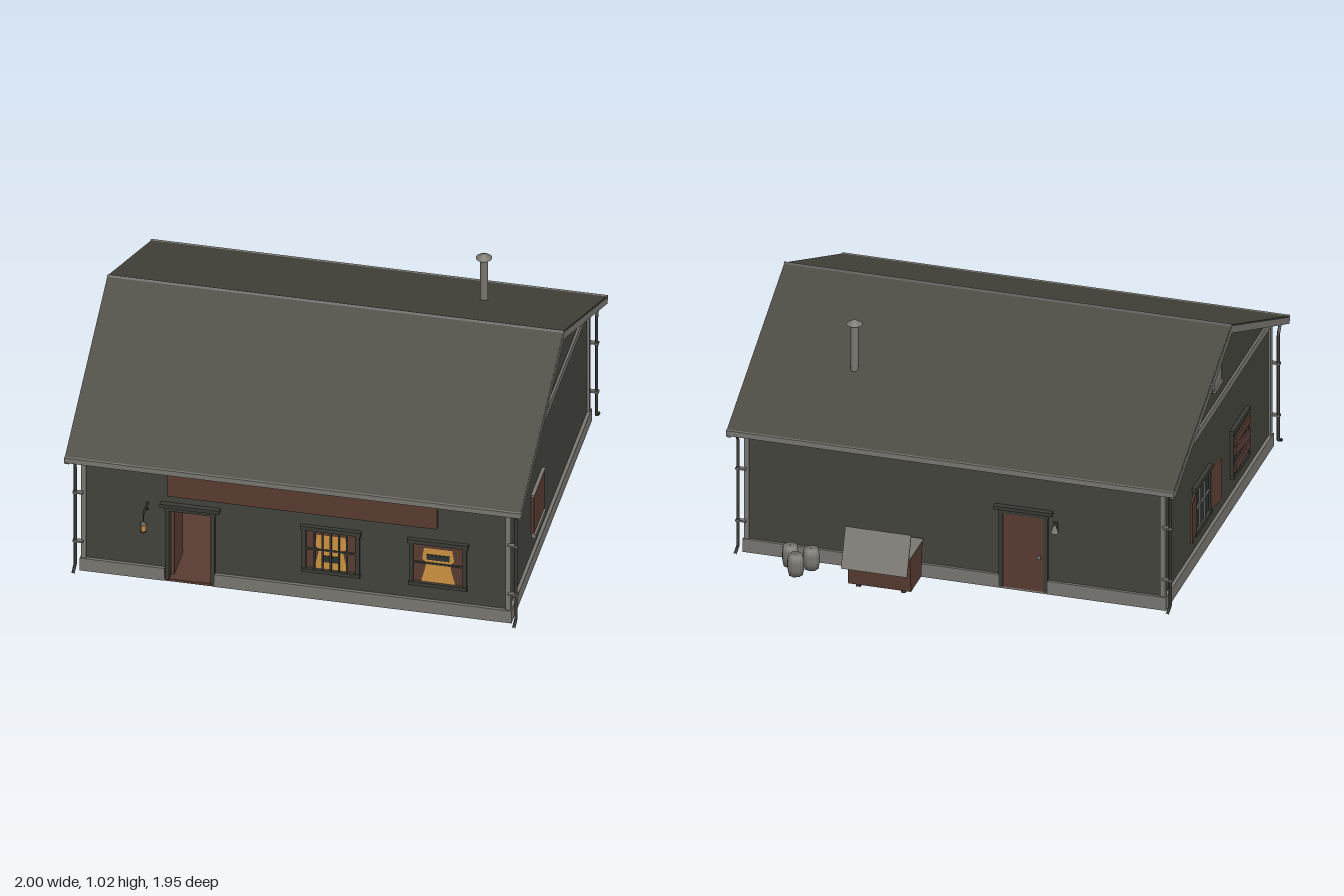
import * as THREE from 'three';

const mat = (name, color) => {
  const m = new THREE.MeshStandardMaterial({ color });
  m.name = name;
  return m;
};

export function createModel() {
  const model = new THREE.Group();
  model.name = 'house';
  const wall = mat('wall green', 0x43443d);
  const roofMat = mat('roof olive', 0x48473e);
  const trim = mat('grey trim', 0x7a7772);
  const brown = mat('red brown', 0x593c32);
  const frameMat = mat('dark frame', 0x3a3a35);
  const glow = mat('warm glow', 0xcf9342);
  const glass = mat('dark glass', 0x2b3133);

  const add = (parent, name, geo, m) => {
    const mesh = new THREE.Mesh(geo, m);
    mesh.name = name;
    parent.add(mesh);
    return mesh;
  };
  // Box given by its limits on each axis
  const box = (parent, name, m, x0, x1, y0, y1, z0, z1) => {
    const mesh = add(parent, name, new THREE.BoxGeometry(x1 - x0, y1 - y0, z1 - z0), m);
    mesh.position.set((x0 + x1) / 2, (y0 + y1) / 2, (z0 + z1) / 2);
    return mesh;
  };
  // Profile of [z, y] points swept along x
  const slab = (parent, name, m, pts, x0, x1) => {
    const shape = new THREE.Shape(pts.map(([z, y]) => new THREE.Vector2(-z, y)));
    const geo = new THREE.ExtrudeGeometry(shape, { depth: x1 - x0, bevelEnabled: false });
    geo.rotateY(Math.PI / 2).translate(x0, 0, 0);
    return add(parent, name, geo, m);
  };
  const tube = (parent, name, m, pts, r, sides = 6) => {
    const path = new THREE.CurvePath();
    const v = pts.map(p => new THREE.Vector3(...p));
    for (let i = 1; i < v.length; i++) path.add(new THREE.LineCurve3(v[i - 1], v[i]));
    return add(parent, name, new THREE.TubeGeometry(path, 24, r, sides), m);
  };
  // Group on a wall, its local +z pointing out of that wall
  const onWall = (name, x, y, z, turn) => {
    const g = new THREE.Group();
    g.name = name;
    g.position.set(x, y, z);
    g.rotation.y = turn;
    model.add(g);
    return g;
  };

  const X = 0.93, ZF = 0.87, ZB = -0.695, T = 0.03;
  const ridgeZ = 0.088, eaveF = 0.935, eaveB = -0.765;

  // Walls, with a doorway in the front
  box(model, 'frontWall', wall, -X, -0.555, 0.01, 0.62, ZF - T, ZF);
  box(model, 'frontWall', wall, -0.37, X, 0.01, 0.62, ZF - T, ZF);
  box(model, 'doorHeader', wall, -0.555, -0.37, 0.365, 0.62, ZF - T, ZF);
  box(model, 'backWall', wall, -X, X, 0.01, 0.62, ZB, ZB + T);
  const gable = [[ZF, 0.01], [ZF, 0.615], [ridgeZ, 0.965], [ZB, 0.615], [ZB, 0.01]];
  slab(model, 'rightWall', wall, gable, -X, -X + T);
  slab(model, 'leftWall', wall, gable, X - T, X);

  // Floor and stone base
  box(model, 'floor', brown, -0.94, 0.94, 0, 0.012, -0.7, 0.88);
  box(model, 'base', trim, -0.945, -0.575, 0.002, 0.065, ZF - 0.01, 0.885);
  box(model, 'base', trim, -0.36, 0.945, 0.002, 0.065, ZF - 0.01, 0.885);
  box(model, 'base', trim, -0.945, 0.945, 0.002, 0.065, -0.708, ZB + 0.01);

  for (const s of [-1, 1]) {
    const span = (name, m, a, b, y0, y1, z0, z1) =>
      box(model, name, m, Math.min(s * a, s * b), Math.max(s * a, s * b), y0, y1, z0, z1);
    span('base', trim, 0.92, 0.945, 0.002, 0.065, -0.705, 0.885);
    span('gableBand', trim, 0.92, 0.94, 0.587, 0.62, -0.7, 0.88);
    span('cornerTrim', trim, 0.918, 0.94, 0.065, 0.6, 0.855, 0.88);
    span('cornerTrim', trim, 0.918, 0.94, 0.065, 0.6, -0.703, -0.68);
    // Attic vent
    span('ventPanel', trim, 0.925, 0.937, 0.69, 0.795, 0.038, 0.142);
    span('ventSill', trim, 0.925, 0.945, 0.68, 0.69, 0.03, 0.15);
    // Rake boards
    slab(model, 'rakeBoard', trim, [[eaveF, 0.575], [eaveF, 0.607], [ridgeZ, 0.988],
      [eaveB, 0.607], [eaveB, 0.575], [ridgeZ, 0.952]], s > 0 ? 0.98 : -1, s > 0 ? 1 : -0.98);
    // Downspouts at the four corners
    for (const [wz, ez, d] of [[0.885, 0.932, 1], [-0.71, -0.758, -1]]) {
      const x = s * 0.965;
      tube(model, 'downspout', frameMat, [[x, 0.595, ez], [x, 0.548, wz], [x, 0.03, wz], [x, 0.012, wz + d * 0.048]], 0.007);
      for (const y of [0.15, 0.4])
        span('pipeBracket', trim, 0.93, 0.975, y, y + 0.008, wz - 0.01, wz + 0.01);
    }
  }

  // Roof, ridge and gutters
  slab(model, 'roof', roofMat, [[eaveF, 0.597], [eaveF, 0.612], [ridgeZ, 0.992],
    [eaveB, 0.612], [eaveB, 0.597], [ridgeZ, 0.972]], -0.997, 0.997);
  slab(model, 'ridgeCap', frameMat, [[0.097, 0.988], [ridgeZ, 0.996], [0.079, 0.988]], -1, 1);
  box(model, 'frontGutter', trim, -1, 1, 0.587, 0.612, 0.928, 0.946);
  box(model, 'backGutter', trim, -1, 1, 0.587, 0.612, -0.776, -0.758);

  // Stove pipe
  const pipe = add(model, 'stovePipe', new THREE.CylinderGeometry(0.018, 0.018, 0.26, 12), trim);
  pipe.position.set(0.545, 0.87, -0.38);
  const cap = add(model, 'pipeCap', new THREE.ConeGeometry(0.036, 0.022, 12), trim);
  cap.position.set(0.545, 1.009, -0.38);

  // Sign board above the windows
  box(model, 'signBoard', brown, -0.56, 0.62, 0.44, 0.548, ZF, 0.888);

  // Framed opening centred on the group, with inner half size w, h
  const frame = (g, w, h, m) => {
    for (const s of [-1, 1])
      box(g, 'sideFrame', m, s * (w + 0.009) - 0.009, s * (w + 0.009) + 0.009, -h, h, 0, 0.016);
    box(g, 'topFrame', m, -w - 0.025, w + 0.025, h, h + 0.02, 0, 0.02);
    box(g, 'sill', m, -w - 0.02, w + 0.02, -h - 0.018, -h, 0, 0.02);
  };

  // Lit front windows with drawn curtains
  const light = [[-0.075, -0.098], [0.075, -0.098], [0.06, -0.04], [0.052, 0], [0.07, 0.02], [0.062, 0.075],
    [-0.062, 0.075], [-0.07, 0.02], [-0.052, 0], [-0.06, -0.04]].map(p => new THREE.Vector2(...p));
  [0.153, 0.622].forEach((x, i) => {
    const g = onWall('frontWindow', x, 0.255, ZF, 0);
    frame(g, 0.108, 0.098, frameMat);
    box(g, 'curtains', brown, -0.108, 0.108, -0.098, 0.098, 0, 0.004);
    add(g, 'litPane', new THREE.ShapeGeometry(new THREE.Shape(light)), glow).position.z = 0.006;
    box(g, 'crossBar', frameMat, -0.108, 0.108, -0.004, 0.004, 0.006, 0.011);
    if (i) box(g, 'notice', glass, -0.05, 0.05, 0.018, 0.045, 0.006, 0.009);
    else {
      box(g, 'notice', glass, -0.04, 0.04, -0.06, -0.028, 0.006, 0.009);
      for (let k = -2; k <= 2; k++)
        box(g, 'bar', frameMat, k * 0.036 - 0.004, k * 0.036 + 0.004, -0.098, 0.098, 0.009, 0.016);
    }
  });

  // Boarded window on the left wall
  const boarded = onWall('boardedWindow', X, 0.26, 0.322, Math.PI / 2);
  box(boarded, 'board', brown, -0.106, 0.106, -0.097, 0.097, 0, 0.012);
  box(boarded, 'boardTop', trim, -0.111, 0.111, 0.097, 0.104, 0, 0.016);
  box(boarded, 'boardSill', trim, -0.102, 0.102, -0.122, -0.101, 0, 0.02);

  // Shuttered window and planked window on the right wall
  for (const [z, shutters] of [[-0.15, true], [0.405, false]]) {
    const g = onWall('sideWindow', -X, 0.255, z, -Math.PI / 2);
    frame(g, 0.1, 0.098, frameMat);
    box(g, 'pane', glass, -0.1, 0.1, -0.098, 0.098, 0, 0.005);
    if (shutters) {
      box(g, 'crossBar', trim, -0.1, 0.1, -0.004, 0.004, 0.005, 0.012);
      for (const x of [-0.035, 0.035]) box(g, 'bar', trim, x - 0.004, x + 0.004, -0.098, 0.098, 0.005, 0.012);
      for (const s of [-1, 1]) {
        const sh = box(g, 'shutter', brown, s * 0.168 - 0.05, s * 0.168 + 0.05, -0.098, 0.098, 0.014, 0.024);
        sh.rotation.y = -s * 0.15;
      }
    } else [-0.06, 0.005, 0.065].forEach((y, k) => {
      box(g, 'plank', brown, -0.11, 0.11, y - 0.02, y + 0.02, 0.016, 0.024).rotation.z = [0.08, -0.1, 0.04][k];
    });
  }

  // Door surround, centred on its threshold
  const doorFrame = g => {
    for (const s of [-1, 1])
      box(g, 'doorPost', frameMat, s * 0.1 - 0.009, s * 0.1 + 0.009, 0.01, 0.375, -0.03, 0.016);
    box(g, 'lintel', frameMat, -0.112, 0.112, 0.365, 0.383, -0.03, 0.018);
    box(g, 'lintelCap', frameMat, -0.13, 0.13, 0.383, 0.4, 0, 0.026);
  };
  doorFrame(onWall('frontDoorway', -0.463, 0, ZF, 0));
  box(model, 'openFrontDoor', brown, -0.555, -0.54, 0.014, 0.362, 0.67, 0.845);
  const backDoor = onWall('backDoor', -0.308, 0, ZB, Math.PI);
  doorFrame(backDoor);
  box(backDoor, 'doorLeaf', brown, -0.091, 0.091, 0.012, 0.365, 0, 0.015);
  box(backDoor, 'doorKnob', trim, 0.065, 0.08, 0.17, 0.185, 0.015, 0.026);

  // Table and cabinet inside the doorway
  box(model, 'tableTop', frameMat, -0.56, -0.45, 0.115, 0.123, 0.3, 0.42);
  for (const x of [-0.52, -0.47]) box(model, 'tableLeg', frameMat, x, x + 0.008, 0.012, 0.115, 0.35, 0.36);
  box(model, 'cabinet', brown, -0.44, -0.36, 0.07, 0.148, 0.35, 0.45);
  for (const x of [-0.435, -0.375]) box(model, 'cabinetLeg', frameMat, x, x + 0.01, 0.012, 0.07, 0.4, 0.41);

  // Lanterns
  const lantern = (g, reach, drop) => {
    tube(g, 'bracket', frameMat, [[0, 0, 0], [0, 0, reach + 0.012]], 0.005);
    tube(g, 'brace', frameMat, [[0, -0.035, 0], [0, 0, reach * 0.4]], 0.004);
    tube(g, 'hanger', frameMat, [[0, 0, reach], [0, -drop, reach]], 0.003);
    const lamp = add(g, 'lamp', new THREE.CylinderGeometry(0.013, 0.011, 0.036, 8), glow);
    lamp.position.set(0, -drop - 0.03, reach);
    add(g, 'lampHood', new THREE.ConeGeometry(0.018, 0.016, 8), frameMat).position.set(0, -drop - 0.006, reach);
    add(g, 'lampFoot', new THREE.CylinderGeometry(0.014, 0.014, 0.006, 8), frameMat).position.set(0, -drop - 0.05, reach);
  };
  lantern(onWall('frontLantern', -0.65, 0.385, ZF, 0), 0.088, 0.04);
  const lamp = onWall('backLamp', -0.45, 0.325, ZB, Math.PI);
  box(lamp, 'lampPlate', frameMat, -0.01, 0.01, -0.02, 0.025, 0, 0.008);
  const shade = add(lamp, 'lampShade', new THREE.CylinderGeometry(0.006, 0.018, 0.035, 8), trim);
  shade.position.set(0, 0, 0.02);

  // Waste bin with its raised lid
  slab(model, 'binBody', brown, [[-0.73, 0.018], [-0.716, 0.185], [-0.9, 0.185], [-0.885, 0.018]], 0.14, 0.42);
  box(model, 'binTop', trim, 0.135, 0.425, 0.183, 0.19, -0.9, -0.714);
  slab(model, 'binLid', trim, [[-0.9, 0.3], [-0.906, 0.302], [-0.97, 0.13], [-0.964, 0.128]], 0.133, 0.427);
  for (const x of [0.17, 0.37]) box(model, 'binFoot', frameMat, x, x + 0.02, 0, 0.02, -0.87, -0.74);

  // Barrels
  const profile = [[0, 0], [0.032, 0], [0.038, 0.03], [0.038, 0.065], [0.032, 0.093], [0, 0.093]]
    .map(p => new THREE.Vector2(...p));
  for (const [x, z] of [[0.62, -0.77], [0.667, -0.845], [0.714, -0.768]])
    add(model, 'barrel', new THREE.LatheGeometry(profile, 8), trim).position.set(x, 0.005, z);

  return model;
}
